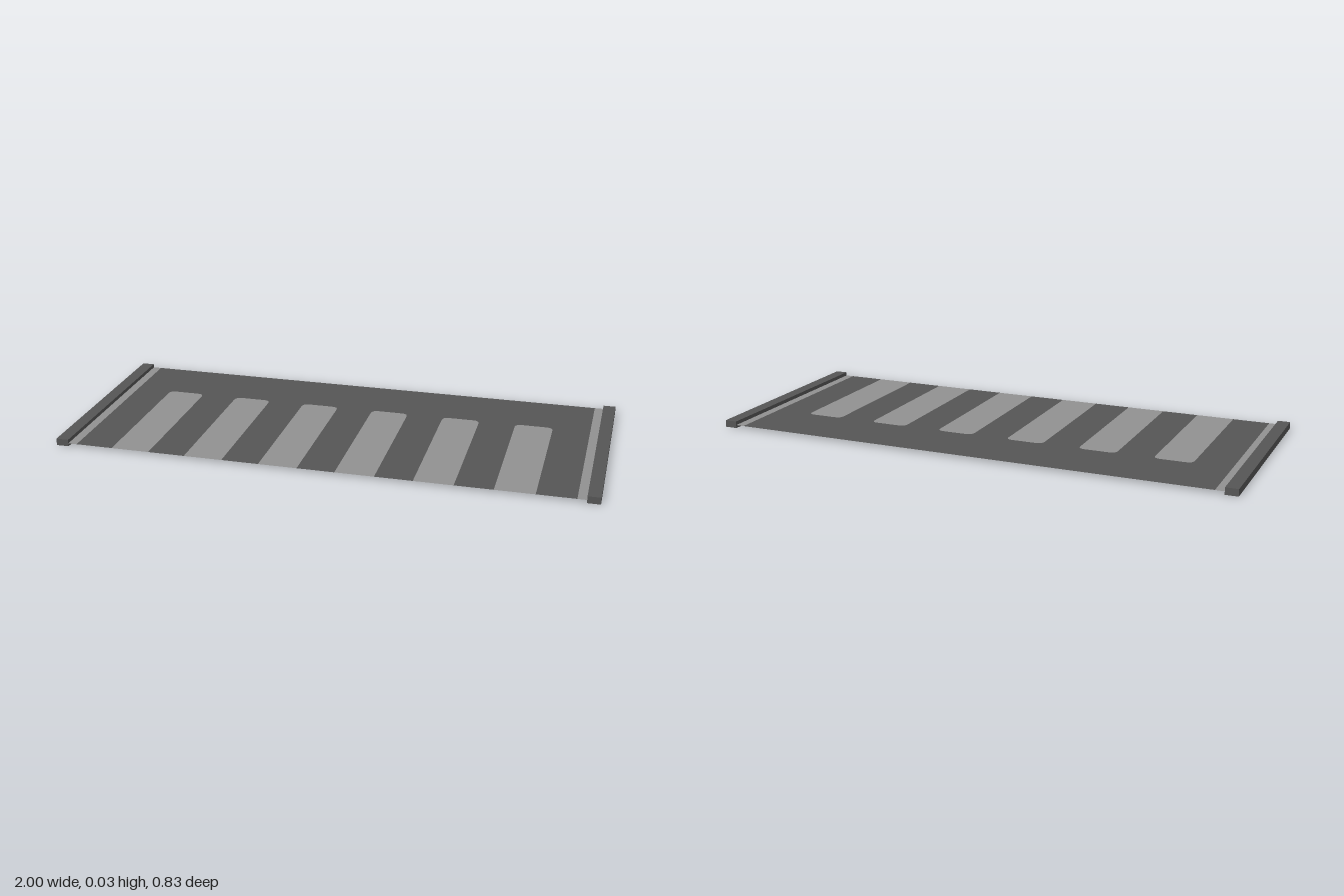
import * as THREE from 'three';

export function createModel() {
  const group = new THREE.Group();
  group.name = 'slottedPanel';
  const dark = new THREE.MeshStandardMaterial({ color: 0x555555, side: THREE.DoubleSide });
  dark.name = 'dark grey';
  const light = new THREE.MeshStandardMaterial({ color: 0x919191, side: THREE.DoubleSide });
  light.name = 'light grey';

  const halfZ = 0.417, railIn = 0.953, stripIn = 0.92, railH = 0.026, sheetY = 0.012;
  const slotW = 0.144, pitch = 0.283, slotBack = 0.174, r = 0.026;

  // Flat shapes are drawn with shape y = -z, then laid down at sheet height
  const addFlat = (name, shape, material) => {
    const mesh = new THREE.Mesh(new THREE.ShapeGeometry(shape, 4).rotateX(-Math.PI / 2), material);
    mesh.position.y = sheetY;
    mesh.name = name;
    group.add(mesh);
  };

  // Traces one slot edge from its front left corner to its front right corner
  const traceSlot = (path, cx) => {
    const a = cx - slotW / 2, b = cx + slotW / 2;
    path.lineTo(a, slotBack - r);
    path.quadraticCurveTo(a, slotBack, a + r, slotBack);
    path.lineTo(b - r, slotBack);
    path.quadraticCurveTo(b, slotBack, b, slotBack - r);
    path.lineTo(b, -halfZ);
  };

  // Dark sheet with open slots along the front, and the light slot inlays
  const sheet = new THREE.Shape();
  sheet.moveTo(-stripIn, -halfZ);
  for (let i = 0; i < 6; i++) {
    const cx = (i - 2.5) * pitch;
    sheet.lineTo(cx - slotW / 2, -halfZ);
    traceSlot(sheet, cx);
    const inlay = new THREE.Shape();
    inlay.moveTo(cx - slotW / 2, -halfZ);
    traceSlot(inlay, cx);
    addFlat('slotInlay' + (i + 1), inlay, light);
  }
  sheet.lineTo(stripIn, -halfZ);
  sheet.lineTo(stripIn, halfZ);
  sheet.lineTo(-stripIn, halfZ);
  addFlat('sheet', sheet, dark);

  // Side rails and the light strips beside them
  for (const [side, s] of [['left', 1], ['right', -1]]) {
    const rail = new THREE.Mesh(new THREE.BoxGeometry(1 - railIn, railH, halfZ * 2), dark);
    rail.position.set(s * (1 + railIn) / 2, railH / 2, 0);
    rail.name = side + 'Rail';
    group.add(rail);

    const x0 = Math.min(s * stripIn, s * railIn), x1 = Math.max(s * stripIn, s * railIn);
    const strip = new THREE.Shape();
    strip.moveTo(x0, -halfZ);
    strip.lineTo(x1, -halfZ);
    strip.lineTo(x1, halfZ);
    strip.lineTo(x0, halfZ);
    addFlat(side + 'Strip', strip, light);
  }
  return group;
}
